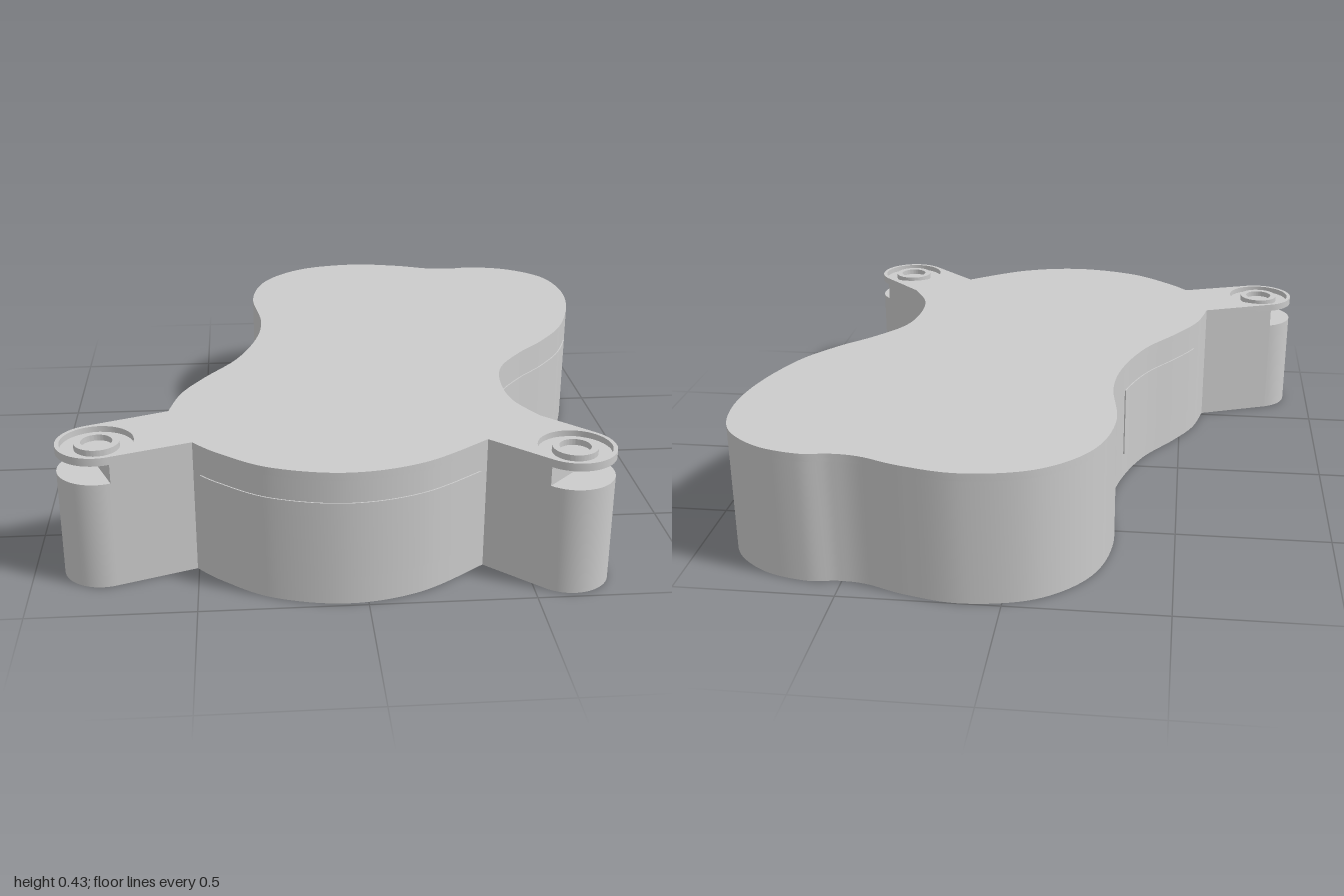
import * as THREE from 'three';
import { toCreasedNormals } from 'three/addons/utils/BufferGeometryUtils.js';

const V = (x, z) => new THREE.Vector2(x, z);
const TOP = 0.425, PLATE = 0.4, SLOT = 0.34, R = 0.123;

// Plan outline (x, z), running clockwise seen from above
const spline = (pts, n) => new THREE.SplineCurve(pts.map(p => V(...p))).getPoints(n);
const rearEdge = spline([
  [-0.585, 0.51], [-0.55, 0.37], [-0.48, 0.24], [-0.37, 0.07], [-0.3, -0.13], [-0.28, -0.32],
  [-0.305, -0.58], [-0.25, -0.8], [-0.1, -0.95], [0.11, -1], [0.29, -0.97], [0.42, -0.922],
  [0.51, -0.912], [0.61, -0.922], [0.75, -0.88], [0.865, -0.77], [0.905, -0.6], [0.885, -0.4],
  [0.81, -0.18], [0.71, -0.03], [0.61, 0.08], [0.52, 0.21], [0.49, 0.35], [0.5, 0.5], [0.56, 0.63],
], 200);
const frontEdge = spline([
  [0.37, 0.795], [0.16, 0.94], [-0.06, 0.99], [-0.28, 0.94], [-0.43, 0.83], [-0.505, 0.75],
], 60);

// The two arms: post centre and outward direction
const arms = [
  { name: 'left', c: V(0.617, 0.86), d: V(1, 1).normalize() },
  { name: 'right', c: V(-0.787, 0.72), d: V(-0.93, 0.37).normalize() },
];

// Half circle around an arm's end; n = 1 gives the straight cut instead
function armEnd({ c, d }, n) {
  const pts = [];
  for (let i = 0; i <= n; i++) {
    const t = Math.PI * i / n, a = R * Math.cos(t), b = R * Math.sin(t);
    pts.push(V(c.x + d.y * a + d.x * b, c.y - d.x * a + d.y * b));
  }
  return pts;
}

const outline = n => [...rearEdge, ...armEnd(arms[0], n), ...frontEdge, ...armEnd(arms[1], n)];

function circle(c, r) {
  return new THREE.Path().absarc(c.x, c.y, r, 0, Math.PI * 2);
}

export function createModel() {
  const group = new THREE.Group();
  const material = new THREE.MeshStandardMaterial({ color: 0xcccccc });

  // Upright slab from a plan shape
  function slab(name, points, y0, y1, holes = []) {
    const shape = new THREE.Shape(points);
    shape.holes.push(...holes);
    const geo = new THREE.ExtrudeGeometry(shape, { depth: y1 - y0, bevelEnabled: false, curveSegments: 32 });
    geo.rotateX(Math.PI / 2).translate(0, y1, 0);
    const mesh = new THREE.Mesh(toCreasedNormals(geo, 0.5), material);
    mesh.name = name;
    group.add(mesh);
  }

  // Body with arms cut straight at the slots, and the cover plate with round ends
  slab('body', outline(1), 0, PLATE);
  slab('coverPlate', outline(28), PLATE, TOP, arms.map(a => circle(a.c, 0.11)));

  // Posts under the slots, and the concentric rings set in the plate
  for (const arm of arms) {
    slab(arm.name + 'Post', armEnd(arm, 28), 0, SLOT);
    slab(arm.name + 'RecessFloor', circle(arm.c, 0.112).getPoints(48), PLATE, PLATE + 0.006);
    slab(arm.name + 'Ring', circle(arm.c, 0.068).getPoints(48), PLATE + 0.004, TOP, [circle(arm.c, 0.047)]);
  }

  // Thin panels following the side walls
  function panel(name, edge, inside) {
    const outer = [], inner = [];
    edge.forEach((p, i) => {
      if (!inside(p)) return;
      const t = edge[Math.min(i + 1, edge.length - 1)].clone().sub(edge[Math.max(i - 1, 0)]).normalize();
      outer.push(V(p.x + t.y * 0.004, p.y - t.x * 0.004));
      inner.push(V(p.x - t.y * 0.01, p.y + t.x * 0.01));
    });
    slab(name, [...outer, ...inner.reverse()], 0.09, 0.33);
  }
  panel('frontPanel', frontEdge, p => p.x > -0.485 && p.x < 0.35);
  panel('leftPanel', rearEdge, p => p.x > 0.4 && p.y > -0.285 && p.y < 0.455);
  panel('rightPanel', rearEdge, p => p.x < -0.2 && p.y > -0.1 && p.y < 0.35);

  // Fine seam across the underside
  slab('undersideSeam', [V(0.157, 0.93), V(0.163, 0.93), V(0.403, -0.6), V(0.397, -0.6)], -0.001, 0.002);

  return group;
}
